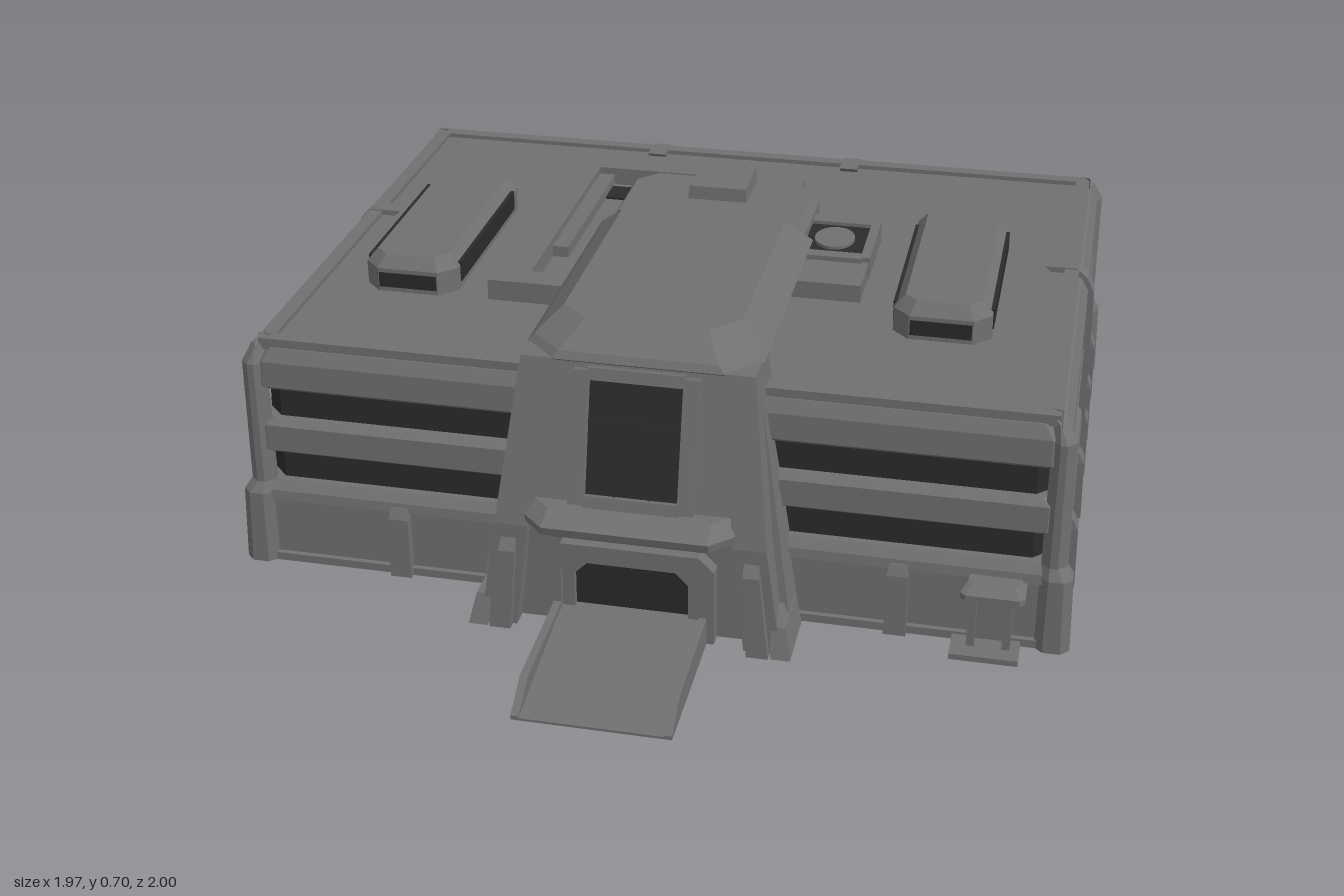
import * as THREE from 'three';

const wallMat = new THREE.MeshStandardMaterial({ color: 0x707070 });
wallMat.name = 'concrete grey';
const darkMat = new THREE.MeshStandardMaterial({ color: 0x2b2b2b });
darkMat.name = 'dark glass';

// Rectangle in plan with chamfered corners, at height y
function ring(x0, x1, z0, z1, c, y) {
  const p = c > 0
    ? [[x1 - c, z1], [x1, z1 - c], [x1, z0 + c], [x1 - c, z0], [x0 + c, z0], [x0, z0 + c], [x0, z1 - c], [x0 + c, z1]]
    : [[x1, z1], [x1, z0], [x0, z0], [x0, z1]];
  return p.map(([x, z]) => [x, y, z]);
}

// Faceted solid through a stack of rings, bottom to top, with both ends closed
function loft(rings) {
  const v = [];
  const n = rings[0].length;
  const tri = (a, b, c) => v.push(...a, ...b, ...c);
  for (let i = 0; i < rings.length - 1; i++) {
    for (let j = 0; j < n; j++) {
      const k = (j + 1) % n, a = rings[i], b = rings[i + 1];
      tri(a[j], a[k], b[k]);
      tri(a[j], b[k], b[j]);
    }
  }
  const lo = rings[0], hi = rings[rings.length - 1];
  for (let j = 1; j < n - 1; j++) {
    tri(lo[0], lo[j + 1], lo[j]);
    tri(hi[0], hi[j], hi[j + 1]);
  }
  const g = new THREE.BufferGeometry();
  g.setAttribute('position', new THREE.Float32BufferAttribute(v, 3));
  g.computeVertexNormals();
  return g;
}

export function createModel() {
  const model = new THREE.Group();
  model.name = 'building';

  const add = (name, geo, mat = wallMat, parent = model) => {
    const m = new THREE.Mesh(geo, mat);
    m.name = name;
    parent.add(m);
    return m;
  };
  // Box given by its limits
  const box = (name, x0, x1, y0, y1, z0, z1, mat = wallMat, parent = model) => {
    const m = add(name, new THREE.BoxGeometry(x1 - x0, y1 - y0, z1 - z0), mat, parent);
    m.position.set((x0 + x1) / 2, (y0 + y1) / 2, (z0 + z1) / 2);
    return m;
  };
  const X = 0.98, Z0 = -0.985, Z1 = 0.51;
  // Stack of building outlines, each level [y, inset]
  const storey = (name, levels, mat = wallMat) =>
    add(name, loft(levels.map(([y, i]) => ring(-X + i, X - i, Z0 + i, Z1 - i, 0.04, y))), mat);

  // Main block: base, two window strips, solid bands and roof
  storey('base', [[0, 0.012], [0.02, 0.012], [0.022, 0.022], [0.165, 0.026], [0.167, 0.016], [0.19, 0.02], [0.212, 0.04]]);
  storey('windowStrips', [[0.2, 0.055], [0.47, 0.06]], darkMat);
  storey('middleBand', [[0.283, 0.045], [0.295, 0.028], [0.36, 0.028], [0.375, 0.045]]);
  storey('roofBand', [[0.45, 0.045], [0.462, 0.03], [0.525, 0.032], [0.555, 0.05], [0.566, 0.07]]);

  // Roof rim
  for (const s of [-1, 1]) {
    const x = s * 0.905;
    box('roofRim', x - 0.018, x + 0.018, 0.55, 0.577, -0.91, 0.44);
    const z = s < 0 ? -0.915 : 0.44;
    box('roofRim', -0.92, 0.92, 0.55, 0.577, z - 0.018, z + 0.018);
  }

  // Corner pillars
  for (const sx of [-1, 1]) for (const sz of [-1, 1]) {
    const levels = [[0, 0], [0.185, 0.006], [0.21, 0.022], [0.52, 0.025], [0.56, 0.045], [0.58, 0.07]];
    add('cornerPillar', loft(levels.map(([y, i]) => {
      const xo = X + 0.005 - i, xi = 0.905;
      const zo = sz > 0 ? Z1 + 0.003 - i : Z0 - 0.005 + i;
      const zi = sz > 0 ? 0.435 : -0.91;
      return ring(Math.min(sx * xo, sx * xi), Math.max(sx * xo, sx * xi), Math.min(zo, zi), Math.max(zo, zi), 0.02, y);
    })));
  }

  // Wall pilasters; tall ones run up to the roof
  const pier = (x, z, nx, nz, tall) => {
    const at = (y, w, out) => {
      const hx = nx ? 0.04 : w, hz = nz ? 0.04 : w;
      const cx = x + nx * (out - 0.04), cz = z + nz * (out - 0.04);
      return ring(cx - hx, cx + hx, cz - hz, cz + hz, 0, y);
    };
    add('pilaster', loft([at(0, 0.026, 0), at(0.155, 0.024, -0.004), at(0.18, 0.02, -0.016)]));
    if (tall) add('tallPilaster', loft([at(0.15, 0.024, -0.012), at(0.52, 0.024, -0.02), at(0.555, 0.024, -0.038), at(0.58, 0.024, -0.065)]));
  };
  for (const s of [-1, 1]) {
    for (const z of [-0.77, -0.53, -0.34, -0.12, 0.2]) pier(s * 0.983, z, s, 0, z === -0.34);
    pier(s * 0.59, 0.512, 0, 1, false);
    pier(s * 0.27, -1.0, 0, -1, true);
    pier(s * 0.58, -0.993, 0, -1, false);
  }

  // Entrance tower: lower storey, sloping upper wall and hood
  box('towerBase', -0.27, 0.27, 0, 0.29, 0.4, 0.6);
  add('towerWall', loft([
    ring(-0.24, 0.24, 0.3, 0.61, 0, 0.28), ring(-0.22, 0.22, 0.3, 0.52, 0, 0.63)]));
  box('towerNeck', -0.24, 0.24, 0.5, 0.63, -0.27, 0.46);
  add('towerHood', loft([
    ring(-0.245, 0.245, -0.28, 0.5, 0.06, 0.615),
    ring(-0.27, 0.27, -0.3, 0.535, 0.075, 0.638),
    ring(-0.255, 0.255, -0.285, 0.525, 0.075, 0.655),
    ring(-0.205, 0.205, -0.25, 0.44, 0.065, 0.697)]));

  // Sloping buttresses with small feet on both sides
  for (const s of [-1, 1]) {
    const leg = (name, levels) => add(name, loft(levels.map(([y, a, b, z0, z1]) =>
      ring(Math.min(s * a, s * b), Math.max(s * a, s * b), z0, z1, 0, y))));
    leg('buttress', [[0, 0.265, 0.35, 0.42, 0.645], [0.26, 0.235, 0.312, 0.42, 0.635], [0.64, 0.195, 0.265, 0.38, 0.535]]);
    leg('buttressSide', [[0, 0.3, 0.37, 0.44, 0.6], [0.3, 0.27, 0.32, 0.44, 0.55], [0.56, 0.22, 0.275, 0.42, 0.5]]);
    leg('buttressFoot', [[0, 0.275, 0.325, 0.5, 0.668], [0.2, 0.262, 0.3, 0.5, 0.655], [0.235, 0.262, 0.295, 0.5, 0.63]]);
    leg('outerFoot', [[0, 0.33, 0.375, 0.5, 0.665], [0.07, 0.325, 0.36, 0.5, 0.64], [0.1, 0.32, 0.345, 0.5, 0.6]]);
  }

  // Tall sloping window with frame and bars
  const win = new THREE.Group();
  win.name = 'towerWindow';
  win.position.set(0, 0.468, 0.563);
  win.rotation.x = -Math.atan(0.09 / 0.35);
  model.add(win);
  box('glass', -0.108, 0.108, -0.135, 0.135, -0.004, 0.004, darkMat, win);
  for (const s of [-1, 1]) {
    box('windowFrame', s * 0.125 - 0.018, s * 0.125 + 0.018, -0.155, 0.155, -0.01, 0.025, wallMat, win);
    box('windowFrame', -0.11, 0.11, s * 0.147 - 0.014, s * 0.147 + 0.014, -0.01, 0.022, wallMat, win);
    box('windowBar', s * 0.04 - 0.003, s * 0.04 + 0.003, -0.135, 0.135, 0.002, 0.008, darkMat, win);
  }
  box('windowBar', -0.108, 0.108, 0.035, 0.042, 0.002, 0.008, darkMat, win);

  // Canopy over the entrance
  add('entranceCanopy', loft([
    ring(-0.21, 0.21, 0.45, 0.64, 0.04, 0.245),
    ring(-0.24, 0.24, 0.45, 0.68, 0.05, 0.272),
    ring(-0.24, 0.24, 0.45, 0.685, 0.05, 0.292),
    ring(-0.225, 0.225, 0.45, 0.64, 0.04, 0.318)]));

  // Entrance arch and doorway
  const outline = (P, w, h, c) => {
    [[-w, 0], [w, 0], [w, h - c], [w - c, h], [-w + c, h], [-w, h - c]]
      .forEach(([x, y], i) => (i ? P.lineTo(x, y) : P.moveTo(x, y)));
    P.closePath();
    return P;
  };
  const arch = (name, w, h, c, t, z, depth) => {
    const s = outline(new THREE.Shape(), w, h, c);
    const hole = new THREE.Path();
    const a = w - t, b = h - t;
    [[-a, 0.002], [a, 0.002], [a, b - c], [a - c, b], [-a + c, b], [-a, b - c]]
      .forEach(([x, y], i) => (i ? hole.lineTo(x, y) : hole.moveTo(x, y)));
    s.holes.push(hole);
    add(name, new THREE.ExtrudeGeometry(s, { depth, bevelEnabled: false })).position.z = z;
  };
  arch('outerArch', 0.195, 0.225, 0.035, 0.035, 0.59, 0.045);
  arch('innerArch', 0.162, 0.2, 0.03, 0.03, 0.59, 0.03);
  const door = add('entranceDoor', new THREE.ShapeGeometry(outline(new THREE.Shape(), 0.135, 0.175, 0.03)), darkMat);
  door.position.z = 0.604;

  // Entrance ramp with low side kerbs
  const slab = (name, x0, x1, pts) => {
    const g = new THREE.ExtrudeGeometry(new THREE.Shape(pts.map(([z, y]) => new THREE.Vector2(-z, y))), { depth: x1 - x0, bevelEnabled: false });
    g.rotateY(Math.PI / 2);
    add(name, g).position.x = x0;
  };
  slab('ramp', -0.165, 0.165, [[0.58, 0], [0.58, 0.052], [0.68, 0.052], [1, 0.006], [1, 0]]);
  for (const x of [-0.178, 0.16]) slab('rampKerb', x, x + 0.018, [[0.58, 0], [0.58, 0.07], [0.68, 0.067], [0.92, 0.058], [1, 0.01], [1, 0]]);

  // Side door with frame, canopy and step
  box('sideStep', 0.72, 0.875, 0, 0.014, 0.47, 0.58);
  add('sideCanopy', loft([ring(0.735, 0.88, 0.46, 0.56, 0.012, 0.145), ring(0.735, 0.88, 0.46, 0.56, 0.012, 0.16), ring(0.75, 0.865, 0.46, 0.53, 0.012, 0.175)]));
  for (const x of [0.755, 0.835]) box('sideDoorPost', x, x + 0.018, 0, 0.148, 0.46, 0.54);
  box('sideDoor', 0.773, 0.835, 0.014, 0.14, 0.47, 0.505);

  // Long roof vents with grilles on every side
  for (const cx of [-0.665, 0.625]) {
    add('roofVent', loft([[0.56, 0], [0.625, 0], [0.655, 0.025]].map(([y, i]) =>
      ring(cx - 0.115 + i, cx + 0.115 - i, -0.47 + i, 0.13 - i, 0.04 - i * 0.4, y))));
    box('ventGrille', cx - 0.072, cx + 0.072, 0.578, 0.615, -0.473, 0.133, darkMat);
    box('ventGrille', cx - 0.118, cx + 0.118, 0.582, 0.632, -0.39, 0.07, darkMat);
  }

  // Low walled yard behind the tower
  const W = 0.618;
  box('yardFloor', -0.38, 0.14, 0.55, 0.572, -0.65, 0.08);
  box('yardWallLeft', -0.465, -0.375, 0.55, W, -0.745, 0.125);
  box('yardWallFront', -0.375, -0.2, 0.55, W, 0.055, 0.125);
  box('yardWallBack', -0.375, 0.09, 0.55, W, -0.745, -0.635);
  add('yardWallCorner', loft([0.55, W].map((y) =>
    [[0.18, -0.55], [0.18, -0.66], [0.09, -0.745], [0.05, -0.745], [0.05, -0.635], [0.1, -0.55]].map(([x, z]) => [x, y, z]))));
  box('yardInnerStep', -0.375, -0.335, 0.55, 0.6, -0.635, -0.14);
  box('yardGrille', -0.335, -0.27, 0.572, 0.577, -0.61, -0.53, darkMat);
  box('yardGrille', -0.15, -0.1, 0.572, 0.61, -0.625, -0.55, darkMat);
  box('yardGrille', -0.39, -0.28, 0.572, 0.577, 0.03, 0.05, darkMat);

  // Stepped block at the back of the tower
  add('rearBlock', loft([[0.55, 0], [0.635, 0], [0.658, 0.015]].map(([y, i]) =>
    ring(-0.25 + i, 0.245 - i, -0.545 + i, -0.22, 0.05, y))));
  add('rearCap', loft([ring(-0.08, 0.075, -0.54, -0.375, 0, 0.64), ring(-0.075, 0.07, -0.535, -0.38, 0, 0.692)]));

  // Fan housing beside the tower
  box('fanHousing', 0.2, 0.415, 0.55, 0.61, -0.42, -0.04);
  box('fanHousingRim', 0.395, 0.418, 0.55, 0.622, -0.42, -0.18);
  box('fanHousingRim', 0.24, 0.4, 0.55, 0.622, -0.425, -0.385);
  box('fanHousingRim', 0.24, 0.4, 0.55, 0.622, -0.205, -0.17);
  box('fanWell', 0.245, 0.393, 0.606, 0.613, -0.385, -0.205, darkMat);
  const fan = add('fan', new THREE.CylinderGeometry(0.05, 0.05, 0.012, 20));
  fan.position.set(0.315, 0.615, -0.295);
  fan.scale.z = 1.25;

  return model;
}
